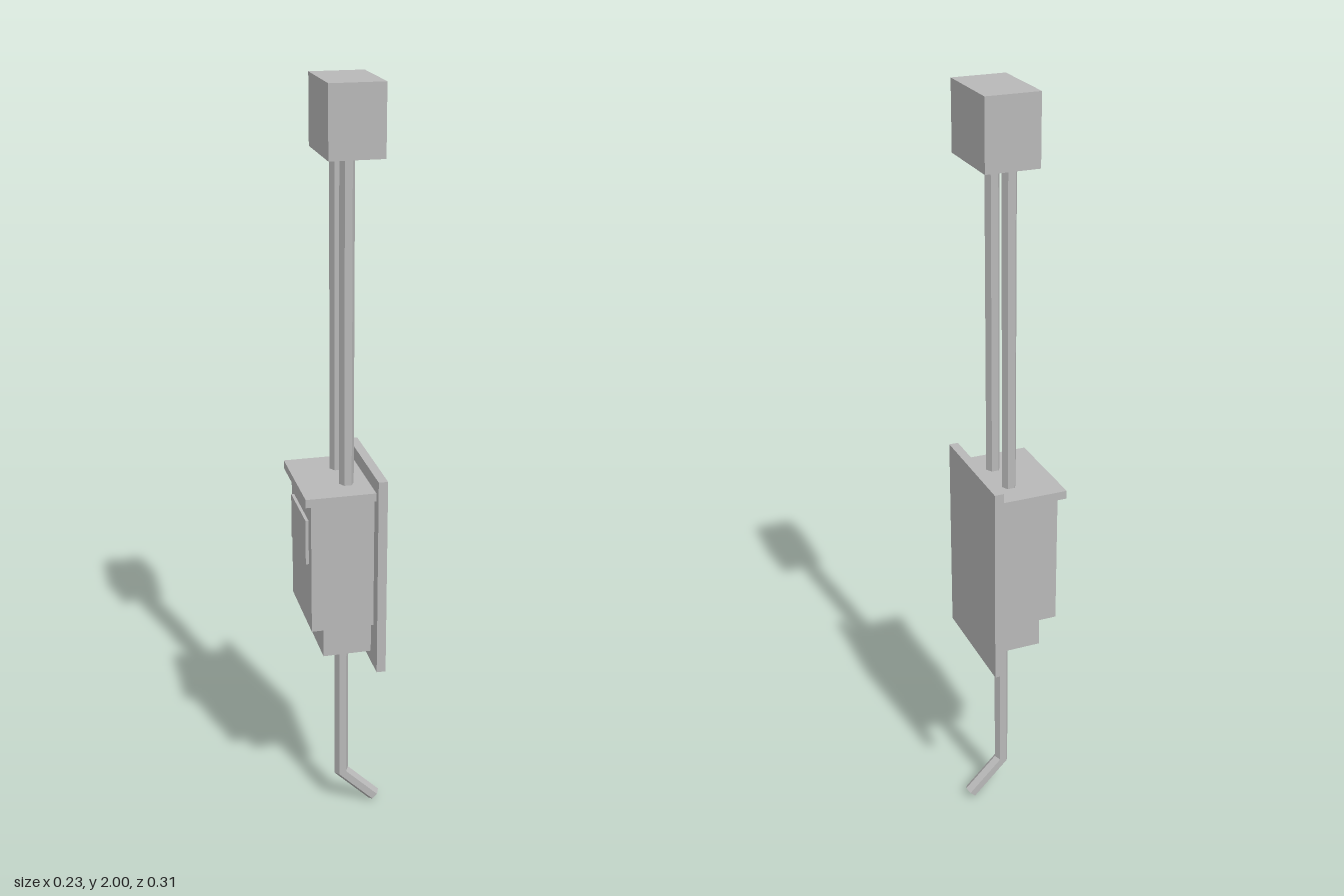
import * as THREE from 'three';

export function createModel() {
  const model = new THREE.Group();
  const grey = new THREE.MeshStandardMaterial({ color: 0xb8b8b8 });
  grey.name = 'grey';

  const add = (name, geometry) => {
    const mesh = new THREE.Mesh(geometry, grey);
    mesh.name = name;
    model.add(mesh);
    return mesh;
  };

  // Box from its x and y limits and its half depth in z
  const box = (name, x0, x1, y0, y1, halfZ) =>
    add(name, new THREE.BoxGeometry(x1 - x0, y1 - y0, halfZ * 2))
      .position.set((x0 + x1) / 2, (y0 + y1) / 2, 0);

  box('topBox', -0.05, 0.088, 1.825, 2, 0.104);
  box('backPlate', 0.064, 0.088, 0.5, 1.038, 0.157);
  box('lid', -0.117, 0.064, 0.978, 1.0, 0.135);
  box('housing', -0.1, 0.064, 0.62, 0.978, 0.118);
  box('displayPanel', -0.108, -0.1, 0.8, 0.922, 0.088);
  box('lowerBox', -0.064, 0.064, 0.53, 0.62, 0.094);

  // Six-sided pipes with an edge facing +x
  const R = 0.019, PX = 0.007;
  const hexPipe = (length, rings) =>
    new THREE.CylinderGeometry(R, R, length, 6, rings).rotateY(Math.PI / 2);
  const faceted = (geometry) => {
    const flat = geometry.toNonIndexed();
    flat.computeVertexNormals();
    return flat;
  };

  for (const side of [-1, 1]) {
    add(side > 0 ? 'frontUpperPipe' : 'backUpperPipe', faceted(hexPipe(0.825, 1)))
      .position.set(PX, 1.4125, side * 0.053);
  }

  // Drain pipe: the middle ring is mitred, the last ring turned 45 degrees
  const drain = hexPipe(1, 2);
  const p = drain.attributes.position;
  const s = Math.SQRT1_2;
  for (let i = 0; i < p.count; i++) {
    const x = p.getX(i), y = p.getY(i);
    if (y > 0.25) p.setXY(i, PX + x, 0.53);
    else if (y > -0.25) p.setXY(i, PX + x, 0.107 + x * Math.tan(Math.PI / 8));
    else p.setXY(i, 0.1005 + x * s, 0.0135 + x * s);
  }
  add('drainPipe', faceted(drain));

  return model;
}
